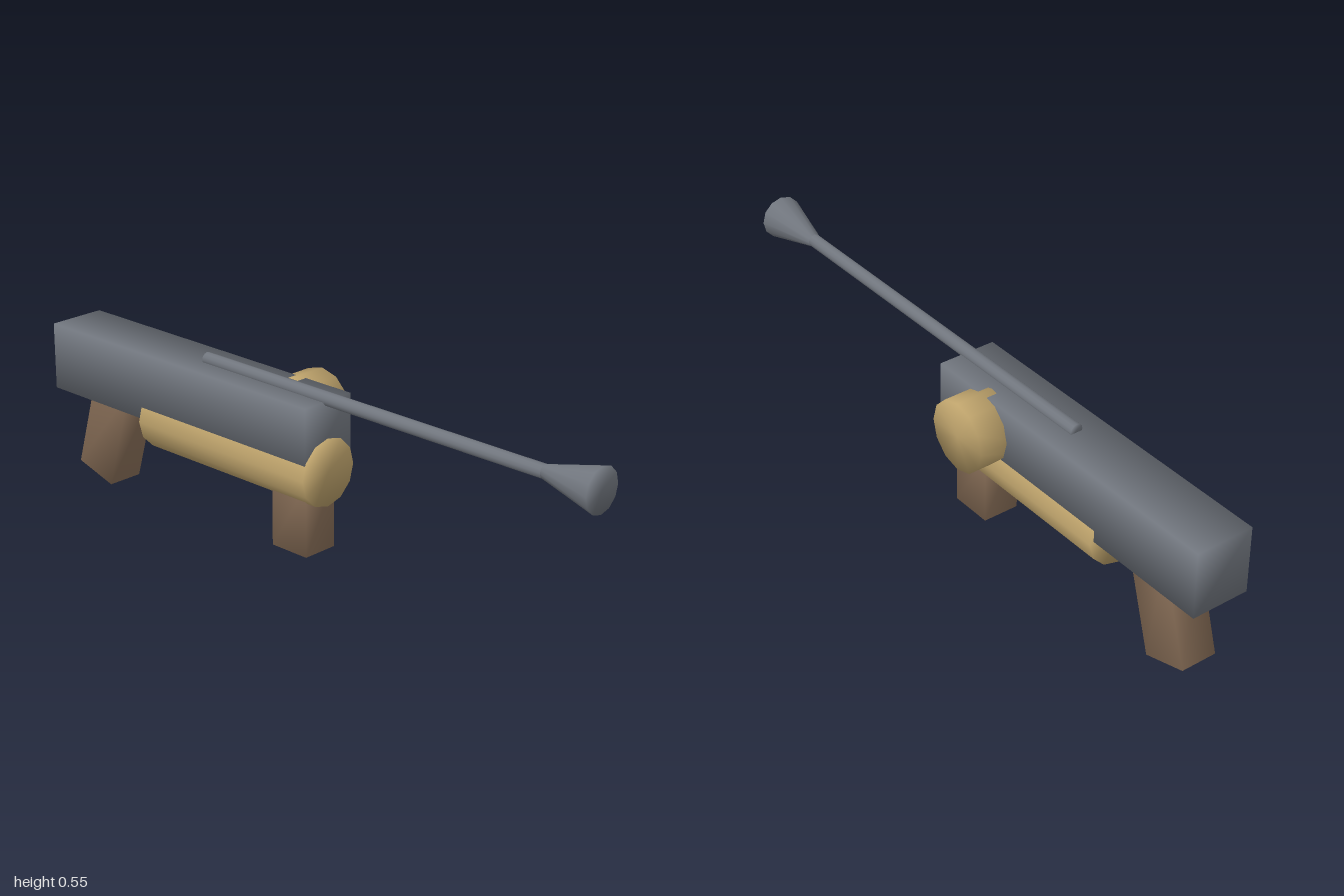
import * as THREE from 'three';
import { mergeVertices } from 'three/addons/utils/BufferGeometryUtils.js';

const material = (name, color) => {
  const m = new THREE.MeshStandardMaterial({ color });
  m.name = name;
  return m;
};

// Share corner vertices so the low-poly forms shade softly
function soften(geometry) {
  geometry.deleteAttribute('normal');
  geometry.deleteAttribute('uv');
  const g = mergeVertices(geometry, 1e-4);
  g.computeVertexNormals();
  return g;
}

export function createModel() {
  const group = new THREE.Group();
  const steel = material('steel grey', 0x70757d);
  const brass = material('tan brass', 0xbda26b);
  const wood = material('brown wood', 0x836a54);
  const axisX = -0.038; // centre line of the main assembly

  const add = (name, geometry, mat, x, y, z) => {
    const mesh = new THREE.Mesh(soften(geometry), mat);
    mesh.name = name;
    mesh.position.set(x, y, z);
    group.add(mesh);
    return mesh;
  };
  // Twelve-sided tube along z, given its front and back radius and z range
  const rod = (name, mat, rFront, rBack, y, z0, z1) =>
    add(name, new THREE.CylinderGeometry(rFront, rBack, z1 - z0, 12).rotateX(Math.PI / 2),
      mat, axisX, y, (z0 + z1) / 2);

  // Main receiver and the round fore-end below it
  add('receiver', new THREE.BoxGeometry(0.181, 0.205, 1.062), steel, axisX, 0.3775, -0.469);
  rod('foreEnd', brass, 0.102, 0.102, 0.268, -0.61, 0.063);

  // Barrel with flared muzzle
  rod('barrel', steel, 0.02, 0.02, 0.486, -0.42, 0.82);
  rod('muzzle', steel, 0.066, 0.02, 0.486, 0.82, 1);

  // Drum on the left side
  add('sideDrum', new THREE.CylinderGeometry(0.108, 0.108, 0.12, 12).rotateZ(Math.PI / 2),
    brass, 0.079, 0.377, -0.13);

  // Upright front grip and slanted rear grip
  add('frontGrip', new THREE.BoxGeometry(0.114, 0.22, 0.133), wood, axisX, 0.127, -0.034);
  const rear = add('rearGrip', new THREE.BoxGeometry(0.114, 0.33, 0.146), wood, axisX, 0.18, -0.824);
  rear.rotation.x = 0.285;

  return group;
}
